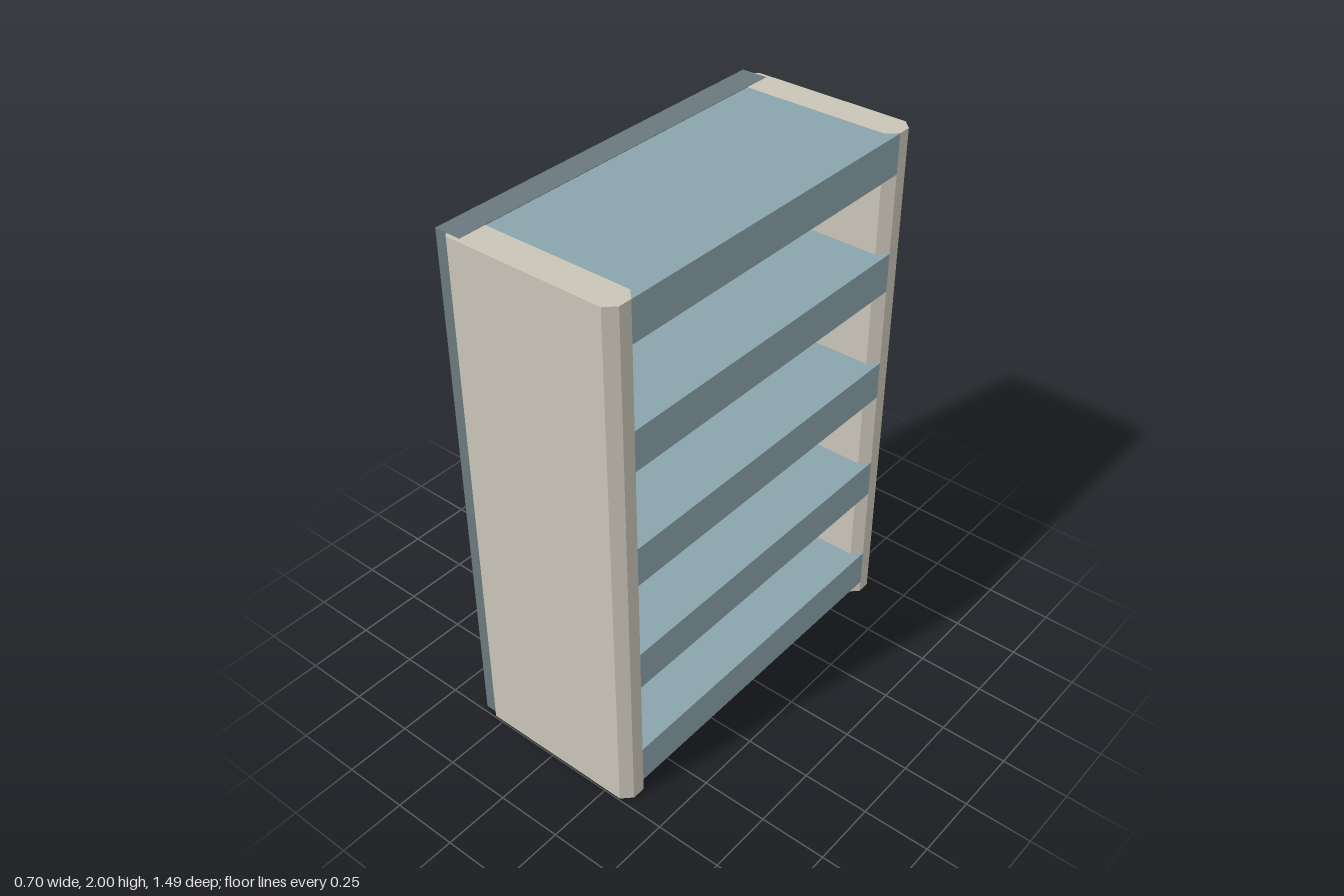
import * as THREE from 'three';

const sideMat = new THREE.MeshStandardMaterial({ color: 0xc9c4b8, name: 'warm grey' });
const shelfMat = new THREE.MeshStandardMaterial({ color: 0x8aa3ab, name: 'dusty blue' });
const backMat = new THREE.MeshStandardMaterial({ color: 0x6a797e, name: 'slate grey' });

export function createModel() {
  const model = new THREE.Group();
  model.name = 'bookcase';

  const box = (name, mat, x0, x1, y0, y1, halfZ) => {
    const mesh = new THREE.Mesh(new THREE.BoxGeometry(x1 - x0, y1 - y0, halfZ * 2), mat);
    mesh.position.set((x0 + x1) / 2, (y0 + y1) / 2, 0);
    mesh.name = name;
    model.add(mesh);
  };

  // Side panels: upright boards with four chamfered edges
  const hx = 0.3375, hz = 0.06, c = 0.035;
  const outline = new THREE.Shape([
    [-hx + c, -hz], [hx - c, -hz], [hx, -hz + c], [hx, hz - c],
    [hx - c, hz], [-hx + c, hz], [-hx, hz - c], [-hx, -hz + c],
  ].map(([x, z]) => new THREE.Vector2(x, z)));
  const height = 1.998;
  const panel = new THREE.ExtrudeGeometry(outline, { depth: height, bevelEnabled: false });
  panel.rotateX(-Math.PI / 2);
  for (const s of [1, -1]) {
    const side = new THREE.Mesh(panel, sideMat);
    side.position.set(0.0125, 0.001, s * 0.685);
    side.name = s > 0 ? 'frontSidePanel' : 'rearSidePanel';
    model.add(side);
  }

  // Back board, just proud of the panel ends so no faces coincide
  box('backBoard', backMat, -0.35, -0.25, 0, 2, 0.73);

  // Five evenly spaced shelves, let into the side panels
  for (let i = 0; i < 5; i++) {
    const top = 0.2 + i * 0.45 - (i === 4 ? 0.002 : 0);
    box('shelf' + (i + 1), shelfMat, -0.26, 0.35, 0.05 + i * 0.45, top, 0.66);
  }
  return model;
}
